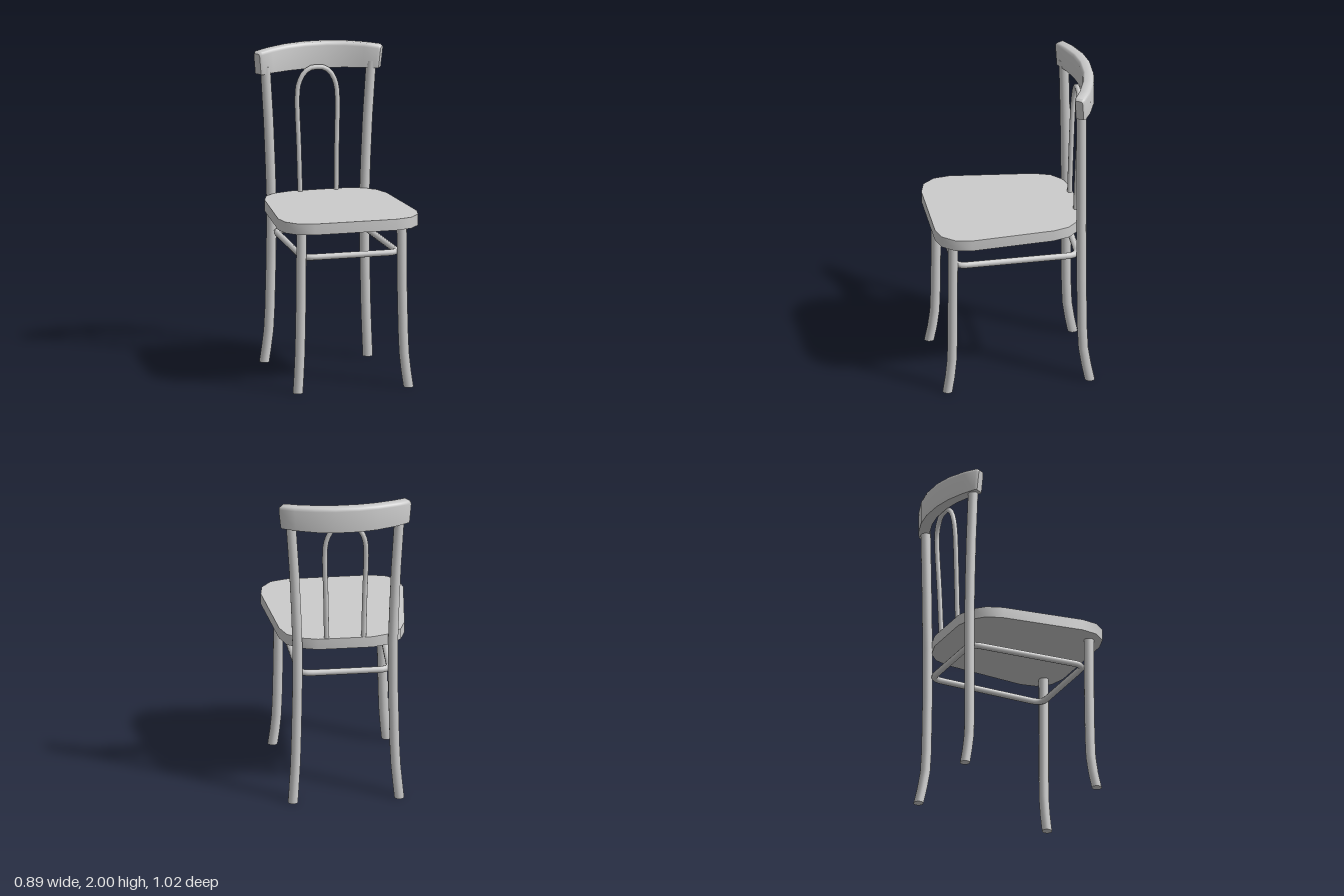
import * as THREE from 'three';
import { toCreasedNormals } from 'three/addons/utils/BufferGeometryUtils.js';

const material = new THREE.MeshStandardMaterial({ color: 0xcccccc });

function part(name, geometry) {
  const mesh = new THREE.Mesh(geometry, material);
  mesh.name = name;
  return mesh;
}

// Round post with level ends, following centre points [x, y, z] from the floor up
function post(points, radius, side) {
  const rows = points.length - 1;
  const geo = new THREE.CylinderGeometry(radius, radius, rows, 14, rows);
  const pos = geo.attributes.position;
  for (let i = 0; i < pos.count; i++) {
    const [x, y, z] = points[Math.round(pos.getY(i) + rows / 2)];
    pos.setXYZ(i, pos.getX(i) + x * side, y, pos.getZ(i) + z);
  }
  return geo;
}

// Seat: wide front, narrower back, clipped corners
function seatGeometry() {
  const half = [[0.26, 0.513], [0.36, 0.485], [0.425, 0.41], [0.443, 0.31],
    [0.39, -0.21], [0.355, -0.31], [0.285, -0.375], [0.17, -0.41]];
  const outline = [...half, ...half.map(([x, z]) => [-x, z]).reverse()];
  const shape = new THREE.Shape(outline.map(([x, z]) => new THREE.Vector2(x, -z)));
  const geo = new THREE.ExtrudeGeometry(shape, { depth: 0.07, bevelEnabled: false });
  geo.rotateX(-Math.PI / 2).translate(0, 1.008, 0);
  return toCreasedNormals(geo, 0.7);
}

// Curved top rail: a section with a rounded top edge swept along an arc
function railGeometry() {
  const section = [[-1, 0], [1, 0], [1, 0.86], [0.88, 0.96], [0.6, 1], [-0.6, 1], [-0.88, 0.96], [-1, 0.86]];
  const half = [0.17, 0.45, 0.75, 0.965, 1];
  const stations = [...half.map(t => -t).reverse(), ...half];
  const n = section.length, last = stations.length - 1;
  const vertices = [], index = [];
  stations.forEach((t, i) => {
    const end = i === 0 || i === last;
    const height = 0.163 - 0.02 * t * t - (end ? 0.012 : 0);
    for (const [d, v] of section) {
      const angle = t * 0.56 * (0.965 + 0.035 * v);
      const r = 0.753 + d * (end ? 0.025 : 0.035);
      vertices.push(r * Math.sin(angle), 1.837 + v * height, 0.273 - r * Math.cos(angle));
    }
    if (i === last) return;
    for (let j = 0; j < n; j++) {
      const a = i * n + j, b = i * n + (j + 1) % n;
      index.push(a, b, b + n, a, b + n, a + n);
    }
  });
  for (let j = 1; j < n - 1; j++) {
    index.push(0, j + 1, j);
    index.push(last * n, last * n + j, last * n + j + 1);
  }
  const geo = new THREE.BufferGeometry();
  geo.setAttribute('position', new THREE.Float32BufferAttribute(vertices, 3));
  geo.setIndex(index);
  return toCreasedNormals(geo, 0.8);
}

// Slim arch inside the back
function archGeometry() {
  const half = [[0.115, 1.06, -0.39], [0.121, 1.36, -0.4], [0.128, 1.66, -0.413],
    [0.12, 1.74, -0.418], [0.092, 1.805, -0.42], [0.05, 1.842, -0.422]];
  const points = [...half, [0, 1.85, -0.422], ...half.map(([x, y, z]) => [-x, y, z]).reverse()];
  const curve = new THREE.CatmullRomCurve3(points.map(p => new THREE.Vector3(...p)));
  return new THREE.TubeGeometry(curve, 48, 0.016, 10);
}

// Stretcher: closed ring with rounded corners, held between the legs
function stretcherGeometry() {
  const y = 0.84;
  const corners = [[0.305, 0.39], [0.28, -0.38], [-0.28, -0.38], [-0.305, 0.39]]
    .map(([x, z]) => new THREE.Vector3(x, y, z));
  const toward = (a, b) => a.clone().add(b.clone().sub(a).setLength(0.07));
  const path = new THREE.CurvePath();
  corners.forEach((c, i) => {
    const previous = corners[(i + 3) % 4], next = corners[(i + 1) % 4];
    path.add(new THREE.QuadraticBezierCurve3(toward(c, previous), c, toward(c, next)));
    path.add(new THREE.LineCurve3(toward(c, next), toward(next, c)));
  });
  return new THREE.TubeGeometry(path, 96, 0.02, 10, true);
}

export function createModel() {
  const chair = new THREE.Group();
  chair.name = 'chair';
  chair.add(
    part('seat', seatGeometry()),
    part('topRail', railGeometry()),
    part('backArch', archGeometry()),
    part('stretcherRing', stretcherGeometry())
  );

  // Legs flare out at the feet; the back pair runs up to the rail
  const frontLeg = [[0.353, 0, 0.449], [0.342, 0.1, 0.431], [0.333, 0.21, 0.418], [0.328, 0.35, 0.414],
    [0.323, 0.6, 0.412], [0.32, 1.02, 0.41]];
  const backLeg = [[0.33, 0, -0.443], [0.321, 0.1, -0.423], [0.312, 0.21, -0.406], [0.306, 0.35, -0.4],
    [0.298, 0.7, -0.397], [0.297, 1.04, -0.396], [0.304, 1.25, -0.396], [0.316, 1.53, -0.394], [0.338, 1.88, -0.39]];
  for (const [side, label] of [[1, 'Left'], [-1, 'Right']]) {
    chair.add(part('frontLeg' + label, post(frontLeg, 0.031, side)));
    chair.add(part('backLeg' + label, post(backLeg, 0.031, side)));
  }
  return chair;
}
